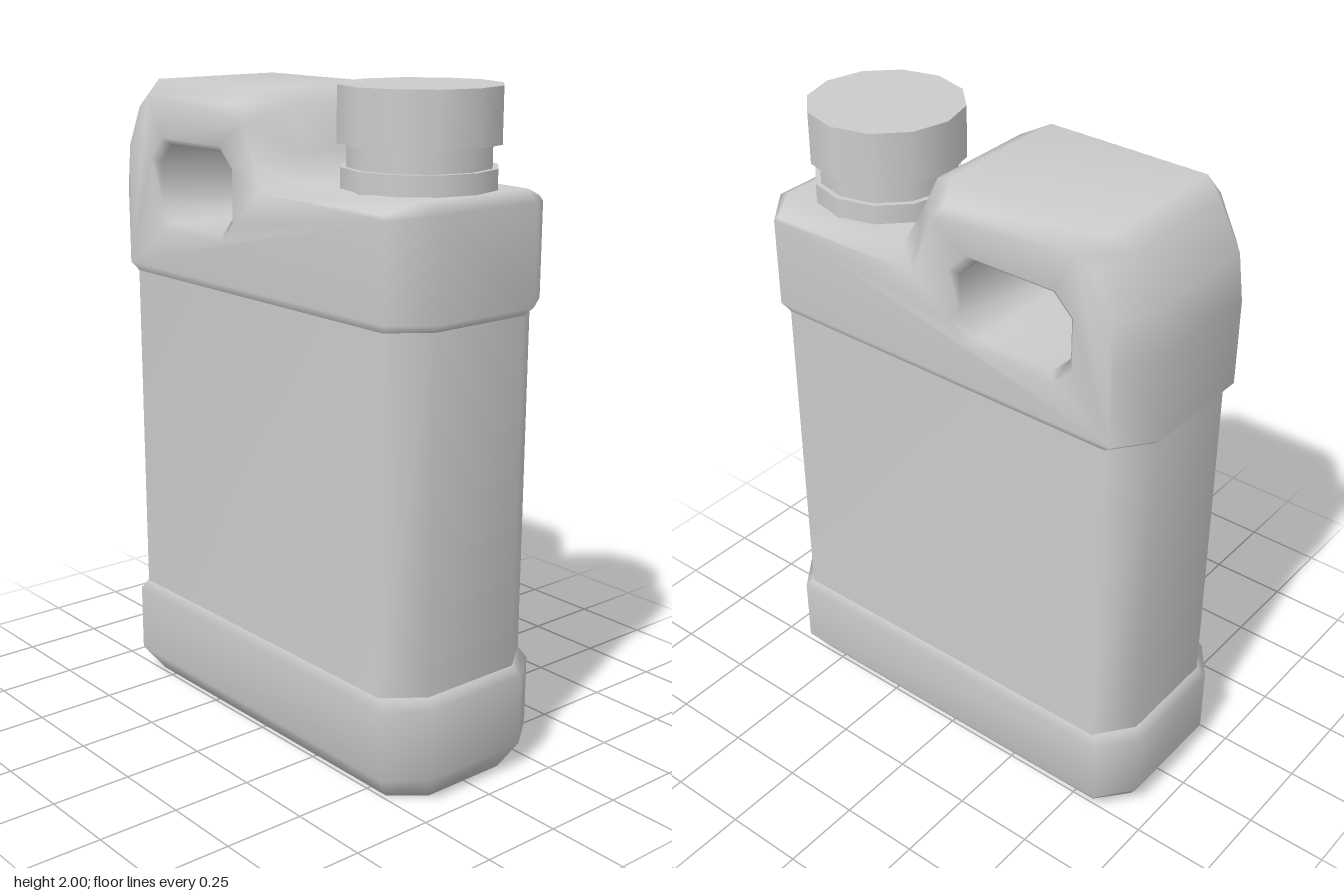
import * as THREE from 'three';
import { mergeVertices } from 'three/addons/utils/BufferGeometryUtils.js';

const DEPTH = 0.293; // half depth of the container

// Collects bands and caps into one smooth, welded geometry
class Surface {
  constructor() { this.pos = []; }
  tri(a, b, c) { this.pos.push(...a, ...b, ...c); }
  loft(rings, closed = true) {
    for (let k = 0; k + 1 < rings.length; k++) {
      const A = rings[k], B = rings[k + 1], n = A.length;
      for (let i = 0; i < (closed ? n : n - 1); i++) {
        const j = (i + 1) % n;
        this.tri(A[i], A[j], B[j]);
        this.tri(A[i], B[j], B[i]);
      }
    }
  }
  mesh(name, material) {
    let g = new THREE.BufferGeometry();
    g.setAttribute('position', new THREE.Float32BufferAttribute(this.pos, 3));
    g = mergeVertices(g, 1e-4);
    g.computeVertexNormals();
    const m = new THREE.Mesh(g, material);
    m.name = name;
    return m;
  }
}

// Rectangle with cut corners, counter-clockwise seen from above
function octagon(y, w, d, cx = 0.085, cz = 0.113) {
  return [[w, d - cz], [w, cz - d], [w - cx, -d], [cx - w, -d],
    [-w, cz - d], [-w, d - cz], [cx - w, d], [w - cx, d]].map(([x, z]) => [x, y, z]);
}

function createBase(material) {
  const s = new Surface();
  const rings = [octagon(0, 0.645, 0.235, 0.08, 0.095), octagon(0.08, 0.69, DEPTH),
    octagon(0.295, 0.69, DEPTH), octagon(0.325, 0.665, 0.28)];
  s.loft(rings);
  const floor = rings[0];
  for (let i = 1; i < 7; i++) s.tri(floor[0], floor[i + 1], floor[i]);
  return s.mesh('base', material);
}

function createPanel(material) {
  const s = new Surface();
  s.loft([octagon(0.325, 0.665, 0.28), octagon(1.375, 0.665, 0.28)]);
  return s.mesh('bodyPanel', material);
}

// Shoulder and handle share one outline, bevelled towards front and back
function createTop(material) {
  const s = new Surface();
  s.loft([octagon(1.375, 0.665, 0.28), octagon(1.40, 0.69, DEPTH)]);

  // Each row: outer x, y, half depth of the outer strip, then x, y on the face
  const outline = [
    [0.69, 1.40, 0.18, 0.605, 1.40],
    [0.69, 1.69, 0.18, 0.605, 1.675],
    [0.635, 1.72, 0.20, 0.59, 1.69],
    [0.16, 1.72, 0.23, 0.07, 1.69],
    [0.135, 1.80, 0.18, 0.045, 1.77],
    [0.07, 1.93, 0.18, 0.0, 1.88],
    [-0.01, 1.97, 0.22, -0.05, 1.93],
    [-0.53, 1.97, 0.22, -0.48, 1.93],
    [-0.59, 1.93, 0.19, -0.53, 1.89],
    [-0.67, 1.80, 0.18, -0.59, 1.77],
    [-0.69, 1.66, 0.18, -0.605, 1.64],
    [-0.69, 1.40, 0.18, -0.605, 1.40],
  ];
  const face = z => outline.map(p => [p[3], p[4], z]);
  const strip = side => outline.map(p => [p[0], p[1], side * p[2]]);
  s.loft([face(-DEPTH), strip(-1), strip(1), face(DEPTH)], false);

  // Grip opening with a small bevel
  const opening = (grow, z) => {
    const w = 0.188 + grow, h = 0.12 + grow, c = 0.06;
    return [[w, h - c], [w, c - h], [w - c, -h], [c - w, -h],
      [-w, c - h], [-w, h - c], [c - w, h], [w - c, h]]
      .map(([x, y]) => [x - 0.267, y + 1.665, z]);
  };
  s.loft([opening(0.02, -DEPTH), opening(0, -0.27), opening(0, 0.27), opening(0.02, DEPTH)]);

  // Front and back faces around the opening
  const flat = list => list.map(p => new THREE.Vector2(p[0], p[1]));
  const tris = THREE.ShapeUtils.triangulateShape(flat(face(0)), [flat(opening(0.02, 0))]);
  const front = [...face(DEPTH), ...opening(0.02, DEPTH)];
  const back = [...face(-DEPTH), ...opening(0.02, -DEPTH)];
  for (const [a, b, c] of tris) {
    s.tri(front[a], front[b], front[c]);
    s.tri(back[a], back[c], back[b]);
  }
  return s.mesh('shoulderAndHandle', material);
}

export function createModel() {
  const group = new THREE.Group();
  group.name = 'jerryCan';
  const material = new THREE.MeshStandardMaterial({ color: 0xcccccc });
  group.add(createBase(material), createPanel(material), createTop(material));

  // Twelve-sided spout: collar, neck and screw cap
  const spout = [
    ['collar', 0.222, 0.222, 1.71, 1.778],
    ['neck', 0.206, 0.206, 1.77, 1.85],
    ['cap', 0.232, 0.232, 1.843, 2.0],
  ];
  for (const [name, top, bottom, y0, y1] of spout) {
    const m = new THREE.Mesh(new THREE.CylinderGeometry(top, bottom, y1 - y0, 12), material);
    m.position.set(0.414, (y0 + y1) / 2, 0);
    m.name = name;
    group.add(m);
  }
  return group;
}
